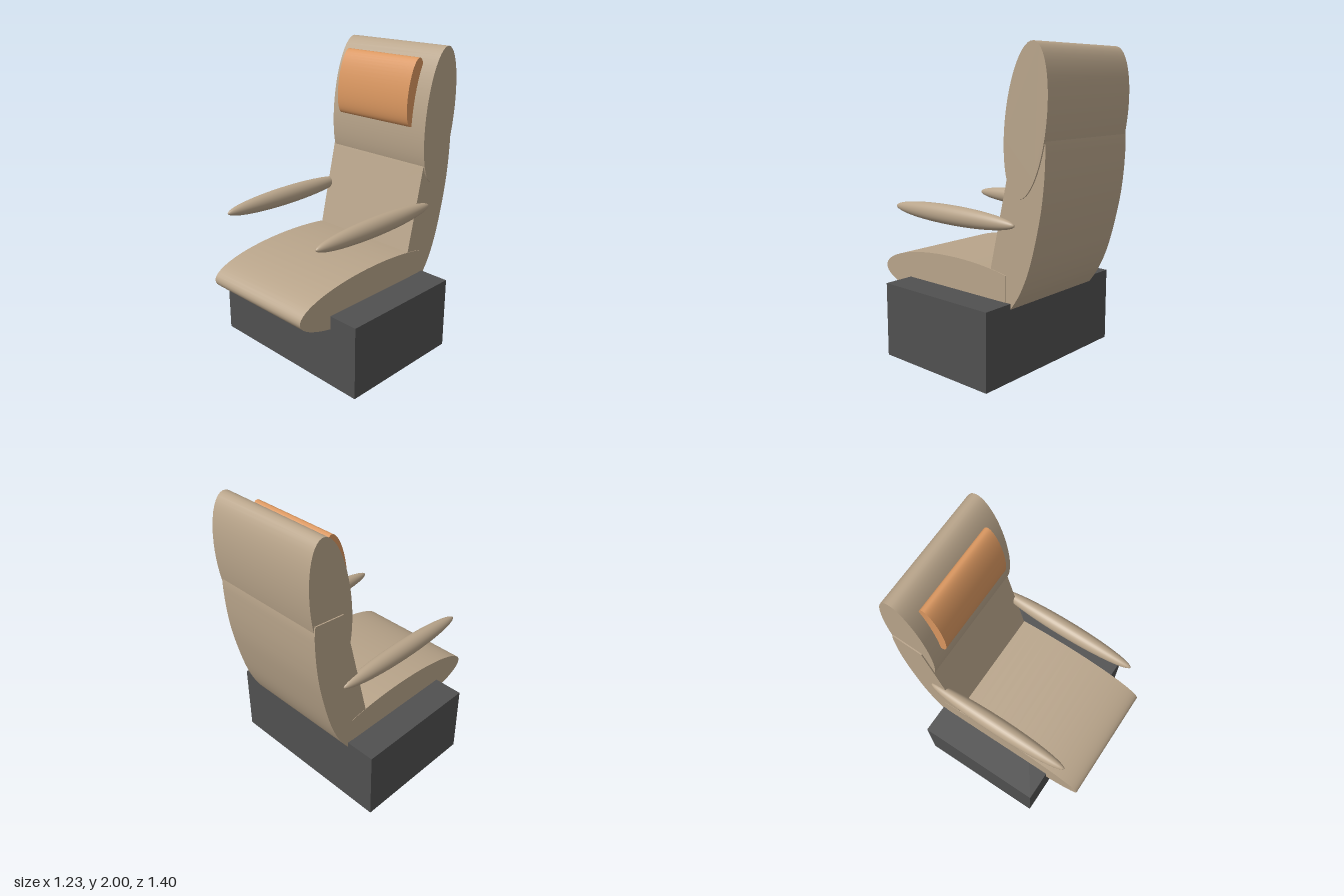
import * as THREE from 'three';
import { toCreasedNormals } from 'three/addons/utils/BufferGeometryUtils.js';

const tan = new THREE.MeshStandardMaterial({ color: 0xb8a48a });
const orange = new THREE.MeshStandardMaterial({ color: 0xd9965f });
const dark = new THREE.MeshStandardMaterial({ color: 0x505050 });

// Extrudes a (z, y) side profile across the width, centred on x.
function sidePanel(name, shape, width, material, x = 0) {
  const geometry = new THREE.ExtrudeGeometry(shape, { depth: width, bevelEnabled: false, curveSegments: 24 });
  geometry.translate(0, 0, -width / 2);
  geometry.rotateY(-Math.PI / 2);
  const mesh = new THREE.Mesh(toCreasedNormals(geometry, 0.6), material);
  mesh.name = name;
  mesh.position.x = x;
  return mesh;
}

// Elliptical profile, optionally tilted and cut to an arc with a straight chord.
function ellipse(z, y, rz, ry, tilt = 0, from = 0, to = Math.PI * 2) {
  const shape = new THREE.Shape();
  shape.absellipse(z, y, rz, ry, from, to, false, tilt);
  return shape;
}

export function createModel() {
  const group = new THREE.Group();
  group.name = 'reclinerSeat';

  // Base block
  const base = new THREE.Mesh(new THREE.BoxGeometry(1.23, 0.49, 0.885), dark);
  base.name = 'base';
  base.position.set(0, 0.245, 0.0125);
  group.add(base);

  // Seat cushion: ellipse cut off inside the backrest
  const cut = THREE.MathUtils.degToRad(131);
  group.add(sidePanel('seat', ellipse(0.04, 0.53, 0.663, 0.166, 0, -cut, cut), 0.82, tan, -0.002));

  // Lower backrest: straight front, curved rear
  const back = new THREE.Shape();
  back.moveTo(-0.405, 0.42);
  back.lineTo(-0.21, 0.42);
  back.lineTo(-0.27, 0.665);
  back.lineTo(-0.4, 1.23);
  back.lineTo(-0.46, 1.48);
  back.lineTo(-0.672, 1.5);
  back.splineThru([[-0.68, 1.4], [-0.67, 1.2], [-0.64, 1.0], [-0.575, 0.74], [-0.5, 0.56], [-0.405, 0.42]]
    .map(([z, y]) => new THREE.Vector2(z, y)));
  group.add(sidePanel('backrest', back, 0.814, tan, -0.003));

  // Upper backrest and head pillow: tilted ellipses
  group.add(sidePanel('upperBackrest', ellipse(-0.5425, 1.56, 0.149, 0.443, 0.125), 0.816, tan, 0.006));
  group.add(sidePanel('headPillow', ellipse(-0.413, 1.712, 0.07, 0.221, 0.17), 0.615, orange, -0.003));

  // Armrests: long ellipsoids with their poles along z
  const armGeometry = new THREE.SphereGeometry(1, 32, 24);
  armGeometry.rotateX(Math.PI / 2);
  armGeometry.scale(0.057, 0.063, 0.52);
  for (const side of [-1, 1]) {
    const arm = new THREE.Mesh(armGeometry, tan);
    arm.name = side > 0 ? 'leftArmrest' : 'rightArmrest';
    arm.position.set(side * 0.411, 0.963, 0.055);
    group.add(arm);
  }
  return group;
}
